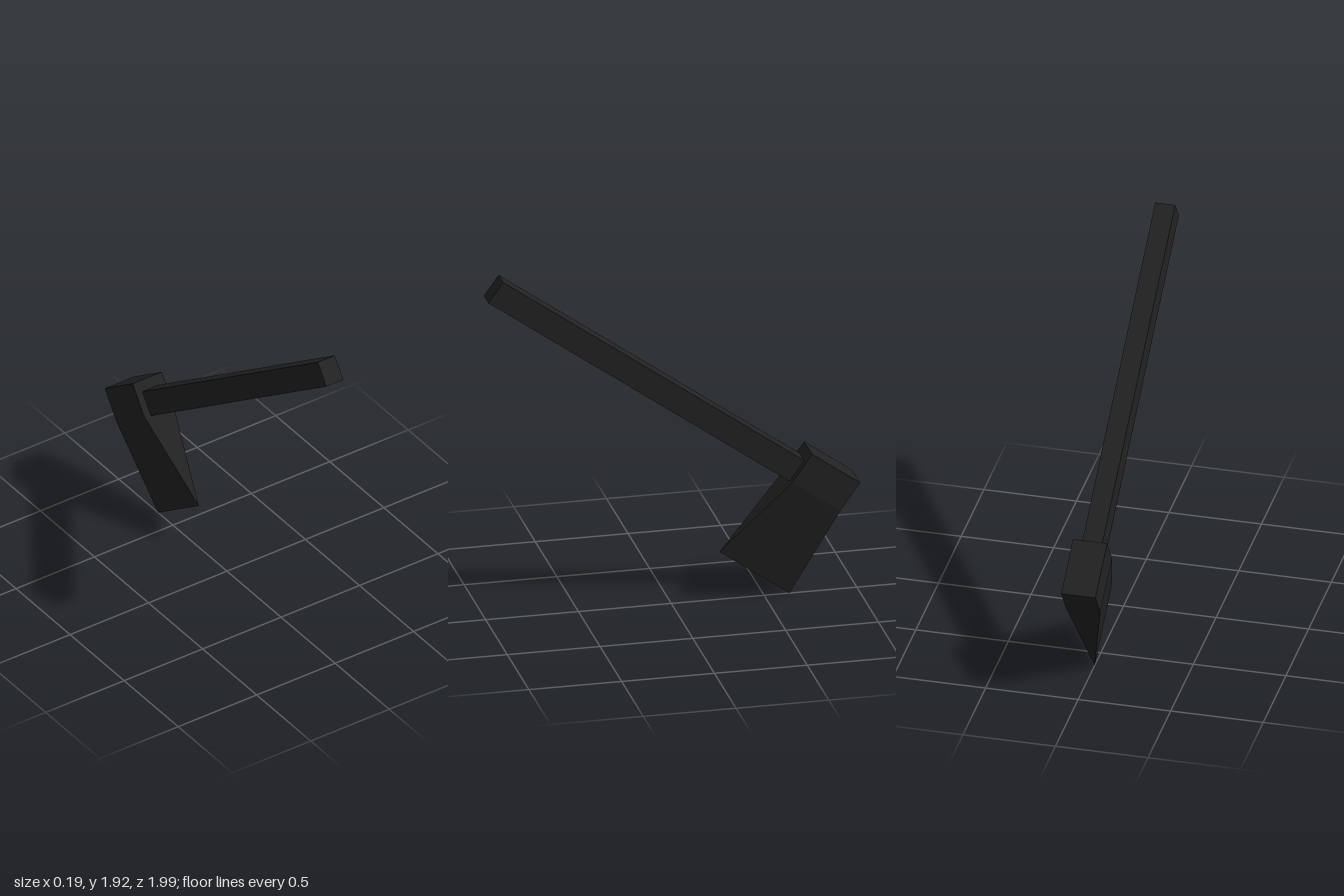
import * as THREE from 'three';

export function createModel() {
  const model = new THREE.Group();
  const charcoal = new THREE.MeshStandardMaterial({ color: 0x222222 });
  charcoal.name = 'charcoal';

  // The whole axe leans: local +z runs along the handle, local -y towards the edge
  const axe = new THREE.Group();
  axe.name = 'axe';
  axe.position.set(0, 0.58, -0.76);
  axe.rotation.x = -0.62;
  model.add(axe);

  const add = (name, geometry, y, z) => {
    const mesh = new THREE.Mesh(geometry, charcoal);
    mesh.name = name;
    mesh.position.set(0, y, z);
    axe.add(mesh);
  };

  // Square handle, seated in the head
  const start = -0.1, end = 2.152;
  add('handle', new THREE.BoxGeometry(0.108, 0.136, end - start), 0.058, (start + end) / 2);

  // Block that holds the handle
  const width = 0.185, depth = 0.318, blockHeight = 0.184;
  add('headBlock', new THREE.BoxGeometry(width, blockHeight, depth), blockHeight / 2, 0);

  // Blade: narrows to a sharp line while flaring along the handle
  const bladeHeight = 0.537, edgeLength = 0.462;
  const blade = new THREE.BoxGeometry(width, bladeHeight, depth);
  const p = blade.attributes.position;
  for (let i = 0; i < p.count; i++) {
    if (p.getY(i) < 0) {
      p.setX(i, 0);
      p.setZ(i, Math.sign(p.getZ(i)) * edgeLength / 2);
    }
  }
  blade.computeVertexNormals();
  add('blade', blade, -bladeHeight / 2, 0);

  return model;
}
